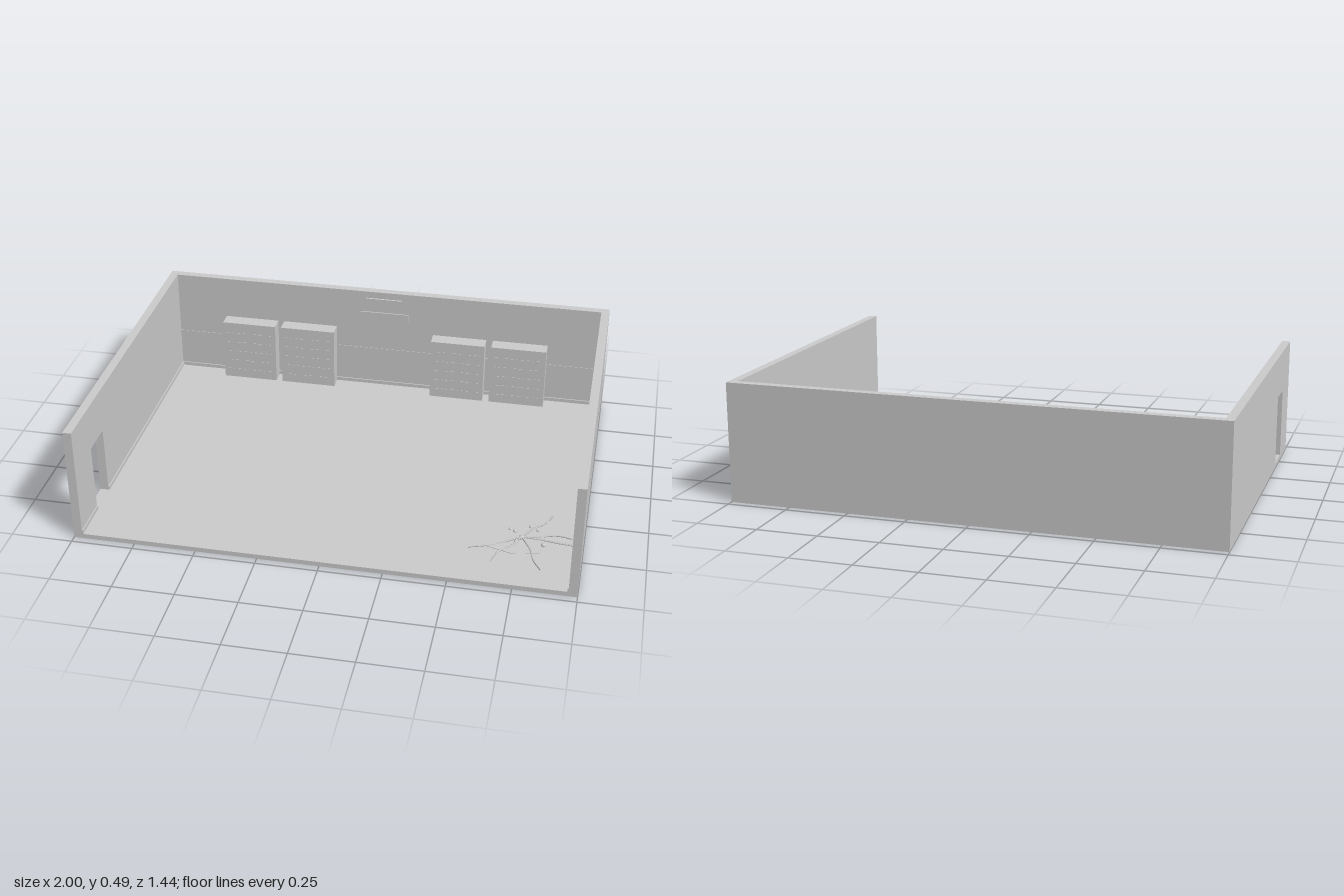
import * as THREE from 'three';

const W = 2, D = 1.44, H = 0.49, T = 0.035, FLOOR = 0.02;

export function createModel() {
  const room = new THREE.Group();
  room.name = 'room';
  const grey = new THREE.MeshStandardMaterial({ color: 0xcccccc });
  grey.name = 'plainGrey';

  const add = (name, geometry, parent = room) => {
    const mesh = new THREE.Mesh(geometry, grey);
    mesh.name = name;
    parent.add(mesh);
    return mesh;
  };
  // box given by its limits on each axis
  const box = (name, x0, x1, y0, y1, z0, z1, parent) =>
    add(name, new THREE.BoxGeometry(x1 - x0, y1 - y0, z1 - z0), parent)
      .position.set((x0 + x1) / 2, (y0 + y1) / 2, (z0 + z1) / 2);

  // shell
  box('floor', -1, 1, 0, FLOOR, -D / 2, D / 2);
  box('backWall', -1, 1, FLOOR, H, -D / 2, -D / 2 + T);
  box('leftWall', 1 - T, 1, FLOOR, H, -D / 2 + T, D / 2);

  // right wall, pierced by a doorway
  const door = { z0: 0.4, z1: 0.54, top: 0.31 };
  const side = new THREE.Shape([
    [-D / 2 + T, FLOOR], [door.z0, FLOOR], [door.z0, door.top], [door.z1, door.top],
    [door.z1, FLOOR], [D / 2, FLOOR], [D / 2, H], [-D / 2 + T, H],
  ].map(([z, y]) => new THREE.Vector2(z, y)));
  const sideWall = new THREE.ExtrudeGeometry(side, { depth: T, bevelEnabled: false });
  sideWall.rotateY(-Math.PI / 2);
  add('rightWall', sideWall).position.x = -1 + T;

  // skirting and wall rail
  const inner = W / 2 - T, back = -D / 2 + T, s = 0.005;
  box('backSkirting', -inner, inner, FLOOR, 0.036, back, back + s);
  box('leftSkirting', inner - s, inner, FLOOR, 0.036, back, D / 2);
  box('rightSkirtingRear', -inner, -inner + s, FLOOR, 0.036, back, door.z0);
  box('rightSkirtingFront', -inner, -inner + s, FLOOR, 0.036, door.z1, D / 2);
  box('backRail', -inner, inner, 0.2, 0.205, back, back + 0.002);

  // four cabinets with rows of small slots on the front
  for (const [x0, x1] of [[-0.74, -0.495], [-0.467, -0.22], [0.225, 0.467], [0.497, 0.743]]) {
    const cabinet = new THREE.Group();
    cabinet.name = 'cabinet';
    room.add(cabinet);
    const front = -0.62;
    box('cabinetBody', x0, x1, FLOOR, 0.3, back, front, cabinet);
    for (let row = 0; row < 5; row++) {
      for (let i = 0; i < 6; i++) {
        const x = x0 + 0.02 + i * 0.036, y = 0.06 + row * 0.047;
        box('cabinetSlat', x, x + 0.024, y, y + 0.003, front, front + 0.002, cabinet);
      }
    }
  }

  // lamp bar and board on the back wall
  box('lampBar', -0.083, 0.083, 0.448, 0.459, back, back + 0.008);
  box('wallBoard', -0.11, 0.11, 0.325, 0.39, back, back + 0.005);

  // rubble patch: low mound, radiating strands, pebbles
  const patch = new THREE.Group();
  patch.name = 'rubblePatch';
  patch.position.set(0.755, FLOOR, 0.41);
  room.add(patch);

  const outline = [[-0.13, 0.08], [-0.1, -0.02], [0.02, -0.13], [0.09, -0.05], [0.08, 0.09], [-0.03, 0.11]];
  const mound = new THREE.ExtrudeGeometry(
    new THREE.Shape(outline.map(([x, z]) => new THREE.Vector2(x, -z))),
    { depth: 0.002, bevelEnabled: false });
  mound.rotateX(-Math.PI / 2);
  add('stain', mound, patch);

  const strands = [
    [[0.05, -0.08], [0.08, -0.11], [0.11, -0.17]],
    [[0.07, -0.02], [0.14, -0.04], [0.2, -0.03]],
    [[0.08, 0.0], [0.15, 0.01], [0.205, 0.015]],
    [[0.04, 0.07], [0.06, 0.14], [0.095, 0.2]],
    [[-0.04, 0.07], [-0.08, 0.11], [-0.1, 0.18]],
    [[-0.08, 0.05], [-0.14, 0.08], [-0.2, 0.1]],
  ];
  for (const points of strands) {
    const path = new THREE.CatmullRomCurve3(
      [[0, 0], ...points].map(([x, z], i) => new THREE.Vector3(x, i ? 0.003 : 0.008, z)));
    add('strand', new THREE.TubeGeometry(path, 14, 0.0035, 5), patch);
  }
  for (const [x, z, r] of [[0, 0, 0.012], [-0.03, -0.04, 0.009], [0.03, -0.08, 0.008],
    [0.09, 0.035, 0.01], [-0.02, 0.03, 0.008], [0.06, -0.06, 0.007], [-0.05, -0.05, 0.007]]) {
    const pebble = add('pebble', new THREE.IcosahedronGeometry(r, 1), patch);
    pebble.position.set(x, 0.004, z);
    pebble.scale.y = 0.8;
  }
  return room;
}
